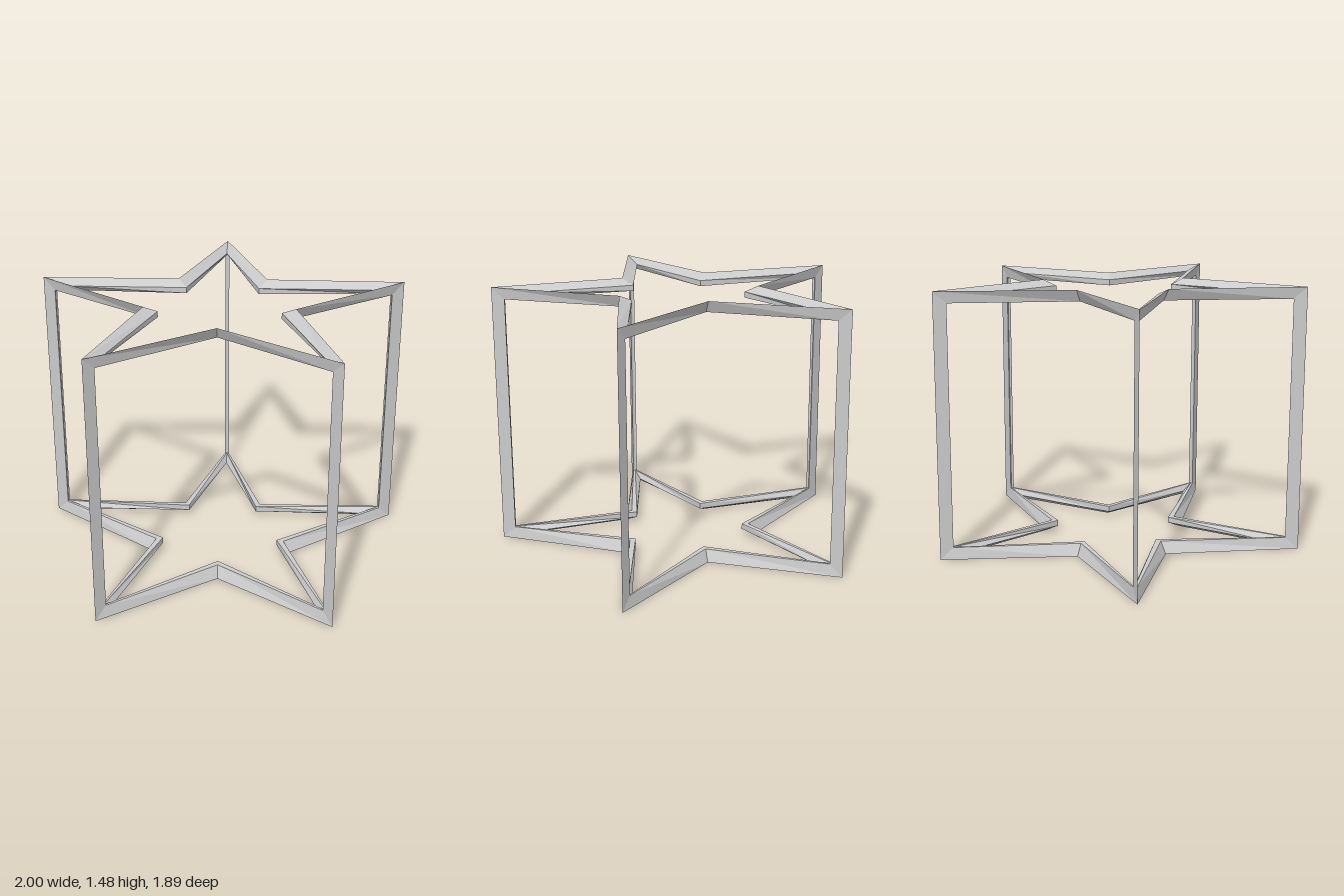
import * as THREE from 'three';

const H = 1.475, BAR = 0.065; // overall height and bar thickness
const v2 = (x, z) => new THREE.Vector2(x, z);

// Half of the star, from back tip to front notch: [outer x, z, inner x, z]
const half = [
  [0, -0.95, 0, -0.8],
  [0.245, -0.24, 0.2, -0.18],
  [1, -0.228, 0.855, -0.18],
  [0.4, 0.225, 0.325, 0.2],
  [0.615, 0.945, 0.53, 0.81],
  [0, 0.515, 0, 0.437],
];
const mirrored = half.slice(1, 5).reverse().map(([a, b, c, d]) => [-a, b, -c, d]);

// Corners alternate tip, notch, tip, ... around the star
const corners = [...half, ...mirrored].map(([ox, oz, ix, iz], i) => {
  const outer = v2(ox, oz), inset = v2(ix, iz), tip = i % 2 === 0;
  const mid = tip ? outer.clone().setLength(outer.length() - 0.034)
    : outer.clone().add(inset).multiplyScalar(0.5);
  const back = mid.clone().multiplyScalar(2).sub(outer);
  return { outer, inset, mid, back, tip };
});
const N = corners.length;

// Side edge of a bar at corner i, pulled along the panel towards corner j
function sideEdge(i, j) {
  const c = corners[i];
  if (!c.tip) return c.mid;
  const dir = corners[j].mid.clone().sub(c.mid).setLength(0.04);
  return c.mid.clone().add(dir);
}

// Flat-shaded tube between two four-cornered rings
function bar(name, a, b, material) {
  const pos = [];
  for (let k = 0; k < 4; k++) {
    const n = (k + 1) % 4;
    for (const p of [a[k], a[n], b[n], a[k], b[n], b[k]]) pos.push(p.x, p.y, p.z);
  }
  const g = new THREE.BufferGeometry();
  g.setAttribute('position', new THREE.Float32BufferAttribute(pos, 3));
  g.computeVertexNormals();
  const mesh = new THREE.Mesh(g, material);
  mesh.name = name;
  return mesh;
}

export function createModel() {
  const material = new THREE.MeshStandardMaterial({ color: 0xcccccc, flatShading: true });
  const model = new THREE.Group();
  model.name = 'starPrismFrame';
  const at = (p, y) => new THREE.Vector3(p.x, y, p.y);

  // Top and bottom star outlines, ten rails each
  for (const top of [true, false]) {
    const star = new THREE.Group();
    star.name = top ? 'topStar' : 'bottomStar';
    const y = (depth) => (top ? H - depth : depth);
    const ring = (i, j) => {
      const c = corners[i];
      return [at(c.outer, y(0)), at(c.inset, y(BAR / 2)),
        at(c.back, y(BAR)), at(sideEdge(i, j), y(BAR))];
    };
    for (let i = 0; i < N; i++) {
      const j = (i + 1) % N;
      const a = ring(i, j), b = ring(j, i);
      star.add(top ? bar('starRail', a, b, material) : bar('starRail', b, a, material));
    }
    model.add(star);
  }

  // Upright posts joining the tips
  for (let i = 0; i < N; i += 2) {
    const c = corners[i];
    const ring = (top) => {
      const y = (d) => (top ? H - d : d);
      return [at(c.outer, y(0)), at(sideEdge(i, (i + N - 1) % N), y(BAR)),
        at(c.back, y(BAR)), at(sideEdge(i, (i + 1) % N), y(BAR))];
    };
    model.add(bar('tipPost', ring(false), ring(true), material));
  }
  return model;
}
